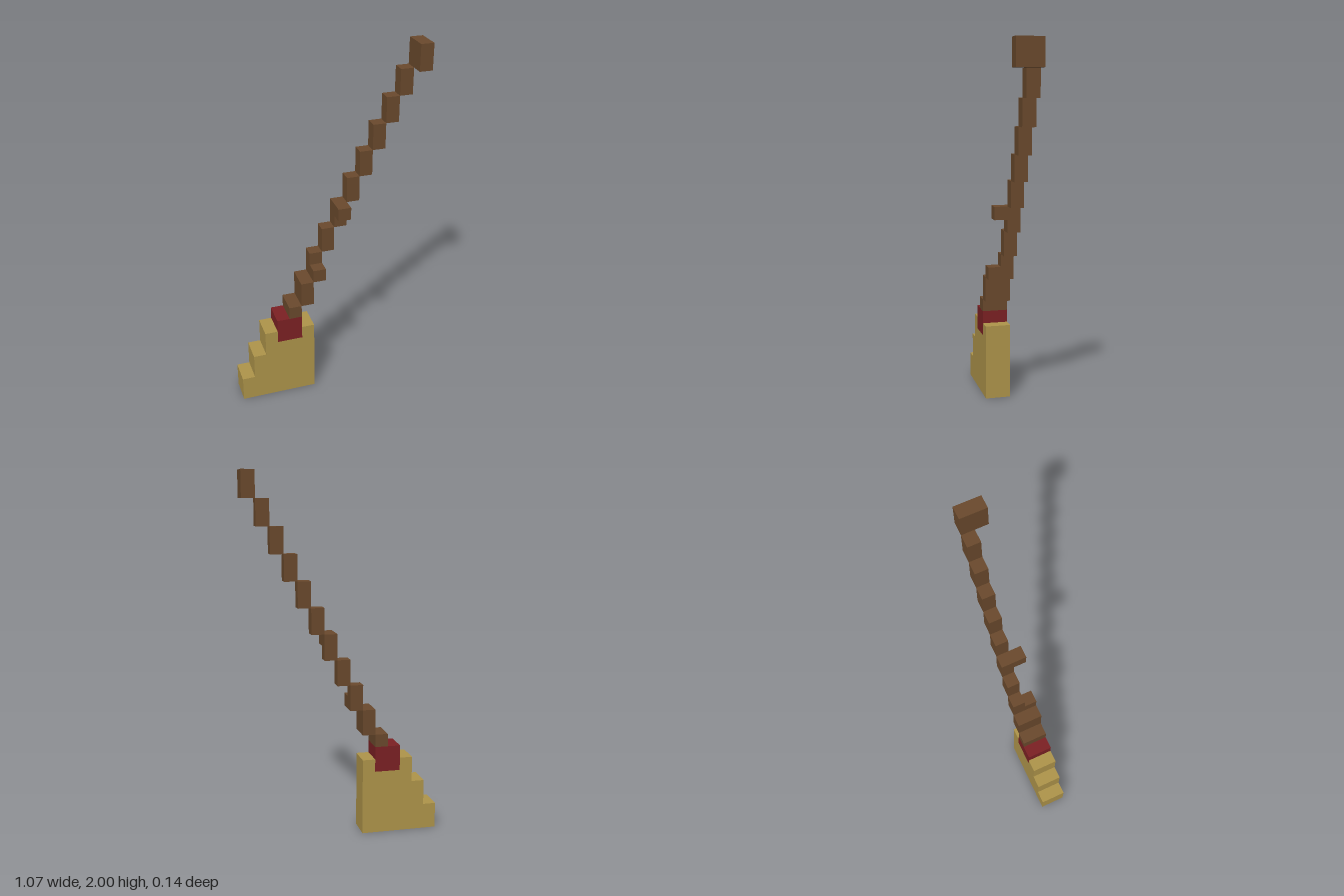
import * as THREE from 'three';

const U = 1 / 14; // one block of the grid
const X0 = -7.5;  // left edge in blocks

const straw = new THREE.MeshStandardMaterial({ color: 0xb0964b });
straw.name = 'straw';
const wood = new THREE.MeshStandardMaterial({ color: 0x6b4a2d });
wood.name = 'wood';
const binding = new THREE.MeshStandardMaterial({ color: 0x7d2124 });
binding.name = 'red binding';

// Box spanning block coordinates; columns are counted from the left edge
function block(name, material, x0, x1, y0, y1, z0, z1) {
  const mesh = new THREE.Mesh(
    new THREE.BoxGeometry((x1 - x0) * U, (y1 - y0) * U, (z1 - z0) * U), material);
  mesh.position.set((X0 + (x0 + x1) / 2) * U, (y0 + y1) / 2 * U, (z0 + z1) / 2 * U);
  mesh.name = name;
  return mesh;
}

export function createModel() {
  const broom = new THREE.Group();
  broom.name = 'broom';

  // Stepped bristle head with a notch for the binding
  const outline = [[0, 0], [6, 0], [6, 6], [5, 6], [5, 5], [3, 5], [3, 6], [2, 6], [2, 4], [1, 4], [1, 2], [0, 2]];
  const shape = new THREE.Shape(outline.map(([x, y]) => new THREE.Vector2((X0 + x) * U, y * U)));
  const head = new THREE.ExtrudeGeometry(shape, { depth: 2 * U, bevelEnabled: false });
  head.translate(0, 0, -U);
  const bristles = new THREE.Mesh(head, straw);
  bristles.name = 'bristles';
  broom.add(bristles);

  // Binding between bristles and handle
  broom.add(block('binding', binding, 3, 5, 5, 7, -1, 1));

  // Handle climbs one column for every two blocks of height
  const handle = new THREE.Group();
  handle.name = 'handle';
  handle.add(block('handleBase', wood, 4, 5, 7, 8, -1, 1));
  for (let col = 5; col <= 14; col++) {
    const y = 2 * col - 2;
    const thick = col === 5 || col === 14;
    handle.add(block('handleStep', wood, col, col + 1, y, y + 2, -1, thick ? 1 : 0));
  }

  // Knots on the front of the handle
  handle.add(block('lowerKnot', wood, 6, 7, 10, 11, 0, 1));
  handle.add(block('upperKnot', wood, 8, 9, 15, 16, 0, 1));
  broom.add(handle);

  return broom;
}
